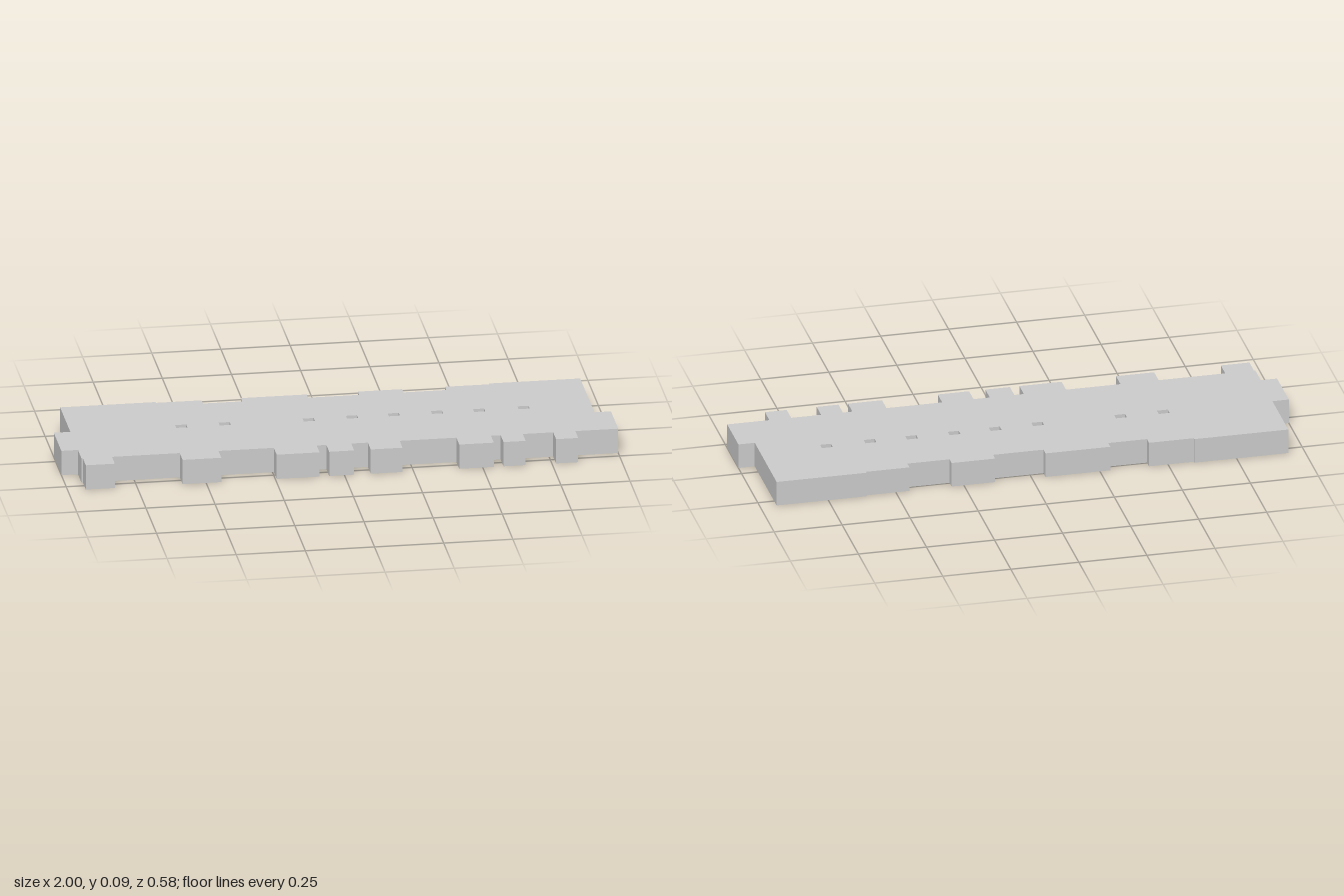
import * as THREE from 'three';

const HEIGHT = 0.093;
const FRONT = 0.22, TAB_FRONT = 0.288;

export function createModel() {
  const group = new THREE.Group();
  group.name = 'notchedPlate';

  // Plan outline as [x, z], starting on the left-hand tab and running along the front edge
  const outline = [[-1, -0.045], [-1, 0.135], [-0.94, 0.135], [-0.94, FRONT]];

  // Front tabs: [start x, end x]
  const tabs = [
    [-0.935, -0.83], [-0.585, -0.445], [-0.245, -0.09], [-0.055, 0.035],
    [0.095, 0.21], [0.415, 0.54], [0.575, 0.655], [0.765, 0.845],
  ];
  for (const [a, b] of tabs) {
    outline.push([a, FRONT], [a, TAB_FRONT], [b, TAB_FRONT], [b, FRONT]);
  }

  // End tab on the +x side
  outline.push([1, FRONT], [1, 0.048], [0.94, 0.048]);

  // Stepped back edge: [start x, end x, z]
  const steps = [
    [0.94, 0.61, -0.288], [0.61, 0.45, -0.28], [0.45, 0.295, -0.248],
    [0.295, 0.135, -0.28], [0.135, -0.05, -0.248], [-0.05, -0.288, -0.28],
    [-0.288, -0.43, -0.248], [-0.43, -0.595, -0.28], [-0.595, -0.94, -0.288],
  ];
  for (const [a, b, z] of steps) outline.push([a, z], [b, z]);
  outline.push([-0.94, -0.045]);

  const toPoints = (pts) => pts.map(([x, z]) => new THREE.Vector2(x, -z));
  const shape = new THREE.Shape(toPoints(outline));

  // Row of small through slots: [centre x, centre z]
  const slots = [
    [-0.54, -0.04], [-0.383, -0.04], [-0.08, -0.034], [0.077, -0.038],
    [0.228, -0.038], [0.384, -0.038], [0.536, -0.034], [0.697, -0.037],
  ];
  const w = 0.02, d = 0.014;
  for (const [x, z] of slots) {
    shape.holes.push(new THREE.Path(toPoints([
      [x - w, z - d], [x + w, z - d], [x + w, z + d], [x - w, z + d],
    ])));
  }

  // Extrude the plan upwards
  const geometry = new THREE.ExtrudeGeometry(shape, { depth: HEIGHT, bevelEnabled: false });
  geometry.rotateX(-Math.PI / 2);
  const plate = new THREE.Mesh(
    geometry,
    new THREE.MeshStandardMaterial({ color: 0xcccccc, flatShading: true }),
  );
  plate.name = 'plate';
  group.add(plate);
  return group;
}
